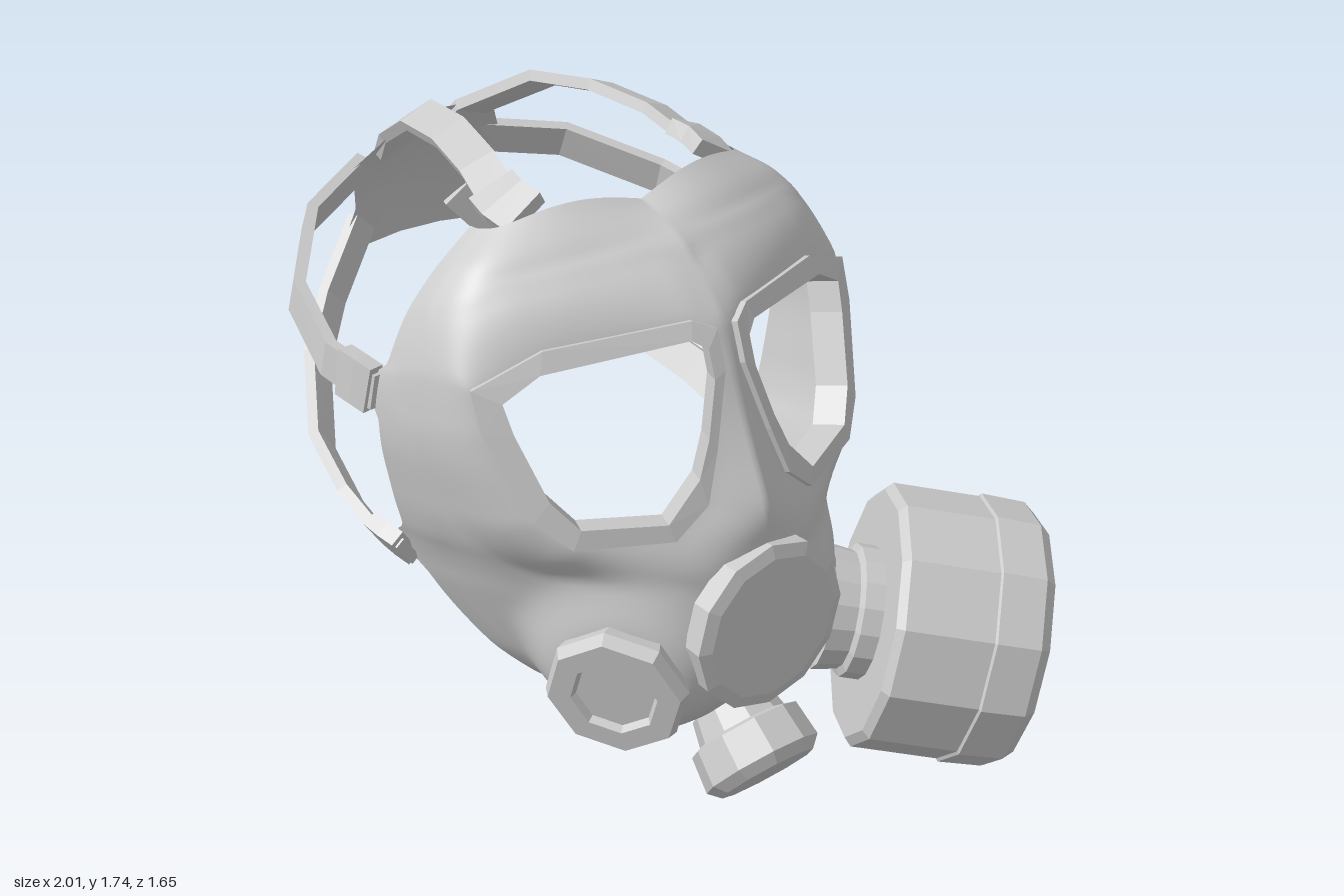
import * as THREE from 'three';

const V = (x, y, z) => new THREE.Vector3(x, y, z);
const smooth = new THREE.MeshStandardMaterial({ color: 0xcccccc, side: THREE.DoubleSide });
const flat = new THREE.MeshStandardMaterial({ color: 0xcccccc, side: THREE.DoubleSide, flatShading: true });

// Eyepiece outlines as (distance from the centre plane, height)
const RIM_OUT = [[.08, 1.425], [.42, 1.39], [.59, 1.31], [.585, 1.2], [.52, .98], [.445, .905],
  [.215, .9], [.125, .98], [.08, 1.11], [.025, 1.3], [.025, 1.4]];
const RIM_IN = [[.09, 1.38], [.437, 1.335], [.53, 1.275], [.52, 1.2], [.475, 1.03], [.42, .955],
  [.225, .945], [.135, 1.045], [.095, 1.14], [.055, 1.28], [.055, 1.355]];
const RIM_MID = RIM_OUT.map((p, i) => [(p[0] + RIM_IN[i][0]) / 2, (p[1] + RIM_IN[i][1]) / 2]);
// Each eyepiece lies in a slanted, slightly bowed plane
const eyeX = (d, y) => .57 - .49 * d - .33 * (y - 1) + .1 * d * Math.max(0, .6 - d);

// Cheek port seat, mirrored on both sides
const PORT = V(.48, .49, .39), PORT_DIR = V(.6, -.15, .78).normalize();

function inside(poly, x, y) {
  let hit = false;
  poly.forEach(([ax, ay], i) => {
    const [bx, by] = poly[(i + 1) % poly.length];
    if ((ay > y) !== (by > y) && x < ax + (bx - ax) * (y - ay) / (by - ay)) hit = !hit;
  });
  return hit;
}

function distance(poly, x, y) {
  if (inside(poly, x, y)) return 0;
  return Math.min(...poly.map(([ax, ay], i) => {
    const [bx, by] = poly[(i + 1) % poly.length];
    const dx = bx - ax, dy = by - ay;
    const k = THREE.MathUtils.clamp(((x - ax) * dx + (y - ay) * dy) / (dx * dx + dy * dy), 0, 1);
    return Math.hypot(x - ax - k * dx, y - ay - k * dy);
  }));
}

// Skin through a list of equal-length point loops
function loft(rings, closed, material) {
  const n = rings[0].length, index = [];
  for (let r = 0; r < rings.length - 1; r++)
    for (let i = 0; i < (closed ? n : n - 1); i++) {
      const a = r * n + i, b = r * n + (i + 1) % n;
      index.push(a, b, a + n, b, b + n, a + n);
    }
  const g = new THREE.BufferGeometry().setFromPoints(rings.flat());
  g.setIndex(index);
  g.computeVertexNormals();
  return new THREE.Mesh(g, material);
}

// Face piece: tilted half-oval sections from forehead to chin
function faceBody() {
  // front x, front y, rear x, rear y, half width
  const rows = [
    [.10, 1.62, -.07, 1.60, .40], [.20, 1.595, -.08, 1.51, .505], [.28, 1.555, -.10, 1.41, .575],
    [.36, 1.46, -.12, 1.28, .625], [.43, 1.34, -.14, 1.17, .645], [.50, 1.2, -.145, 1.05, .645],
    [.56, 1.08, -.145, .93, .625], [.605, .96, -.145, .82, .60], [.605, .85, -.15, .70, .56],
    [.60, .72, -.10, .56, .50], [.60, .58, 0, .42, .42], [.57, .44, .08, .34, .34],
    [.50, .33, .14, .29, .26], [.42, .25, .15, .24, .19], [.30, .24, .15, .24, .05]];
  const front = new THREE.CatmullRomCurve3(rows.map(r => V(r[0], r[1], r[4])));
  const rear = new THREE.CatmullRomCurve3(rows.map(r => V(r[2], r[3], 0)));
  const half = pts => new THREE.SplineCurve(pts.map(p => new THREE.Vector2(...p)));
  const wedge = half([[0, 1], [.3, .91], [.62, .75], [.9, .52], [.99, .24], [1, 0]]);
  const oval = half([[0, 1], [.3, .95], [.62, .78], [.9, .44], [.98, .18], [1, 0]]);
  const NU = 96, NV = 90, pts = [], index = [];
  for (let j = 0; j <= NV; j++) {
    const t = j / NV, f = front.getPoint(t), b = rear.getPoint(t);
    const mix = THREE.MathUtils.smoothstep(t, .45, .65);
    // short lips at the rear edge where the side straps attach
    const lip = .05 * (Math.exp(-(((b.y - 1.19) / .06) ** 4)) + Math.exp(-(((b.y - .7) / .06) ** 4)));
    for (let i = 0; i <= NU; i++) {
      const s = 2 * i / NU - 1;
      const c = wedge.getPoint(Math.abs(s)).lerp(oval.getPoint(Math.abs(s)), mix);
      const d = c.x * f.z, y = b.y + (f.y - b.y) * c.y;
      const p = V(b.x + (f.x - b.x) * c.y - lip * (1 - c.y) ** 4, y, d);
      // raise the forehead beneath the top straps
      p.y += .04 * Math.sin(Math.PI * c.x) * Math.max(0, 1 - t / .1);
      // settle the skin onto the eyepiece plane
      const gap = eyeX(d, y) - p.x;
      p.x += gap * Math.max(0, 1 - distance(RIM_OUT, d, y) / .12) * Math.max(0, 1 - (gap / .22) ** 2);
      // swell the cheek out to the port seat
      const rel = p.clone().sub(PORT), h = rel.dot(PORT_DIR);
      const r = rel.addScaledVector(PORT_DIR, -h).length();
      p.addScaledVector(PORT_DIR, (-.06 - h) * (1 - THREE.MathUtils.smoothstep(r, .13, .32)));
      p.z *= Math.sign(s);
      pts.push(p);
    }
  }
  for (let j = 0; j < NV; j++)
    for (let i = 0; i < NU; i++) {
      const a = j * (NU + 1) + i, b = a + 1, c = a + NU + 1, e = c + 1;
      const m = pts[a].clone().add(pts[e]).multiplyScalar(.5);
      if (m.x > .08 && inside(RIM_MID, Math.abs(m.z), m.y)) continue;
      index.push(a, b, c, b, e, c);
    }
  const g = new THREE.BufferGeometry().setFromPoints(pts);
  g.setIndex(index);
  g.computeVertexNormals();
  return new THREE.Mesh(g, smooth);
}

// Raised eyepiece frame
function eyeRim(side) {
  const loop = (poly, h) => poly.map(([d, y]) =>
    V(eyeX(d, y) + h * .87, y + h * .22, side * (d + h * .43)));
  return loft([loop(RIM_OUT, -.03), loop(RIM_OUT, .015), loop(RIM_IN, .022), loop(RIM_IN, -.07)], true, flat);
}

// Flat band following a path, its face turned away from the head centre
function band(points, width, thick, side) {
  const p = points.map(q => V(q[0], q[1], q[2] * side));
  const rings = p.map((q, i) => {
    const tan = p[Math.min(i + 1, p.length - 1)].clone().sub(p[Math.max(i - 1, 0)]).normalize();
    const out = q.clone().sub(V(-.3, 1.15, 0));
    out.addScaledVector(tan, -out.dot(tan)).normalize();
    const across = tan.clone().cross(out);
    return [[-1, -1], [1, -1], [1, 1], [-1, 1]].map(([a, b]) =>
      q.clone().addScaledVector(across, a * width / 2).addScaledVector(out, b * thick / 2));
  });
  const cap = r => r.map(() => r[0].clone().add(r[2]).multiplyScalar(.5));
  return loft([cap(rings[0]), ...rings, cap(rings[rings.length - 1])], true, flat);
}

// Turned part with its axis along dir
function turned(profile, sides, pos, dir) {
  const m = new THREE.Mesh(new THREE.LatheGeometry(profile.map(p => new THREE.Vector2(...p)), sides), flat);
  m.position.copy(pos);
  m.quaternion.setFromUnitVectors(V(0, 1, 0), dir.clone().normalize());
  return m;
}

export function createModel() {
  const model = new THREE.Group(), mask = new THREE.Group();
  model.name = 'gasMask';
  mask.name = 'mask';
  mask.position.z = .13;
  model.add(mask);
  const add = (name, mesh) => { mesh.name = name; mask.add(mesh); };

  add('faceBody', faceBody());

  // Harness straps and the tabs that hold them
  const straps = {
    top: [[-.05, 1.63, .31], [-.2, 1.685, .28], [-.38, 1.7, .24], [-.58, 1.67, .2], [-.81, 1.53, .12], [-.87, 1.45, .1]],
    middle: [[-.15, 1.185, .645], [-.33, 1.215, .67], [-.58, 1.27, .6], [-.79, 1.36, .42], [-.9, 1.4, .19]],
    lower: [[-.15, .69, .575], [-.26, .705, .59], [-.4, .745, .585], [-.6, .805, .54], [-.81, .93, .41], [-.895, 1.05, .3], [-.945, 1.22, .16]]
  };
  const tabs = {
    top: [[.02, 1.63, .3], [-.05, 1.645, .31], [-.11, 1.655, .3]],
    middle: [[-.16, 1.19, .65], [-.21, 1.2, .66], [-.27, 1.205, .665]],
    lower: [[-.16, .695, .575], [-.21, .705, .585], [-.26, .715, .59]]
  };
  for (const side of [1, -1]) {
    const tag = side > 0 ? 'Left' : 'Right';
    add('eyeRim' + tag, eyeRim(side));
    for (const key in straps) {
      add(key + 'Strap' + tag, band(straps[key], .1, .03, side));
      add(key + 'Tab' + tag, band(tabs[key], .13, .045, side));
    }
  }

  // Plate at the back of the head
  const plateRows = [[-.82, 1.55, .16], [-.91, 1.43, .24], [-.97, 1.28, .2], [-1, 1.12, .25]];
  add('backPlate', loft(plateRows.map(([x, y, w]) =>
    [-1, -.5, 0, .5, 1].map(s => V(x + .06 * s * s, y, s * w))), false, smooth));

  // Capped port on the left cheek
  add('cheekPort', turned([[.17, -.09], [.19, -.03], [.175, .005], [.115, .005], [.105, -.015], [0, -.015]],
    8, PORT, PORT_DIR));

  // Round speaking disc on the front
  add('frontDisc', turned([[.232, -.06], [.235, 0], [.2, .012], [0, .012]],
    12, V(.625, .625, 0), V(1, 0, 0)));

  // Outlet valve under the chin
  add('chinValve', turned([[.11, -.21], [.125, -.14], [.155, -.13], [.165, -.03], [.135, 0], [0, 0]],
    10, V(.625, .165, 0), V(.755, -.656, 0)));

  // Filter canister on the right cheek
  const axis = V(.54, -.22, -.81);
  add('filterNeck', turned([[.17, -.12], [.16, -.05], [.18, -.04], [.18, .02]], 16, V(.51, .44, -.42), axis));
  add('filterCanister', turned([[0, 0], [.335, 0], [.357, .02], [.357, .26], [.365, .265], [.36, .385], [.335, .415], [0, .415]],
    12, V(.505, .425, -.435), axis));
  return model;
}
